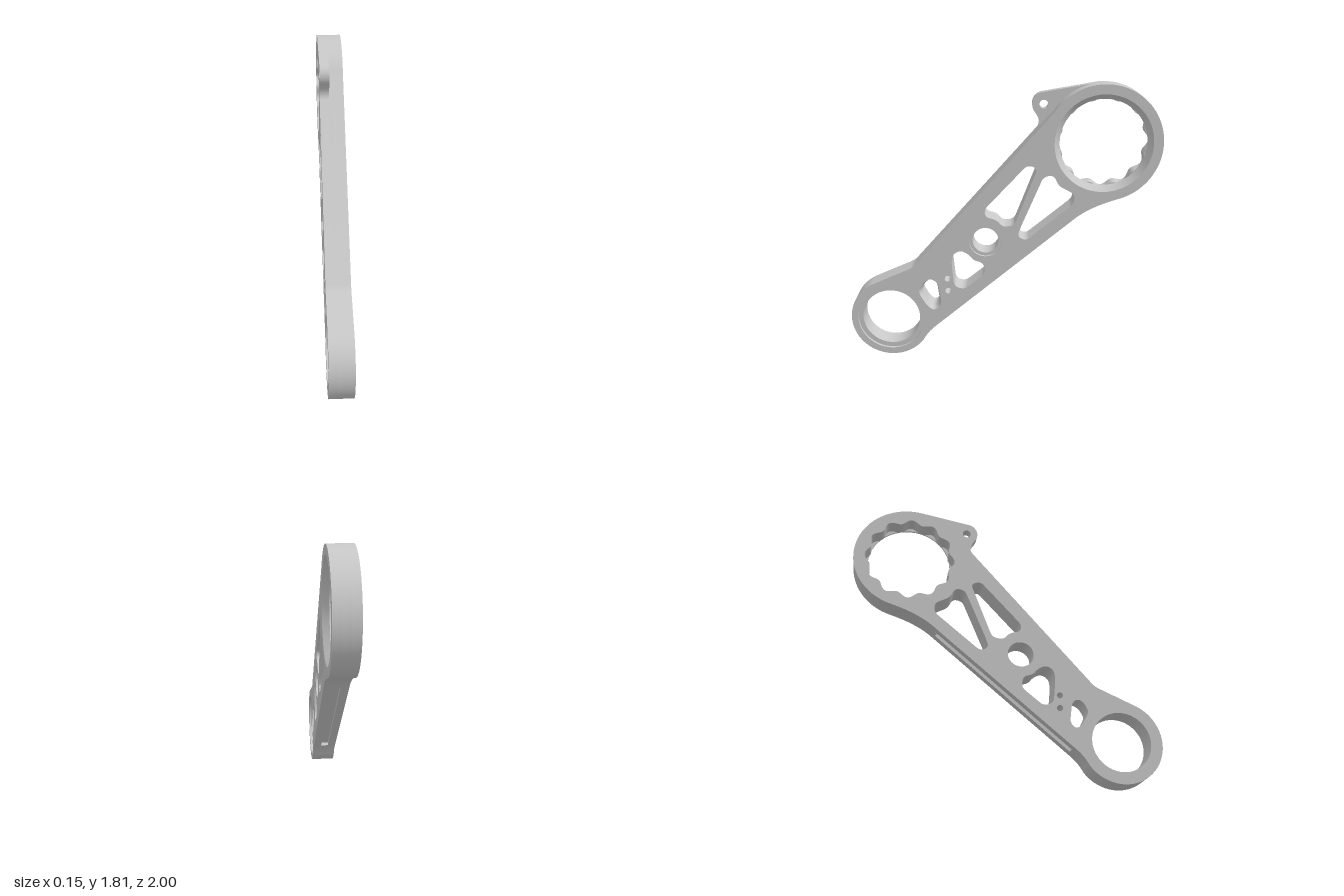
import * as THREE from 'three';
import { toCreasedNormals } from 'three/addons/utils/BufferGeometryUtils.js';

// Profile is drafted on a 187-per-unit sheet: sheet right = -z, sheet down = -y.
const S = 187;
const P = (x, y) => new THREE.Vector2((x - 686) / S, (394 - y) / S);
const rad = THREE.MathUtils.degToRad;
const TOP = P(804, 123), LOW = P(548.5, 344), MID = P(666.5, 242);

// Closed counter-clockwise outline with softened corners
function rounded(pts, cut = 6) {
  const v = pts.map(([x, y]) => P(x, y));
  if (THREE.ShapeUtils.isClockWise(v)) v.reverse();
  const path = new THREE.Path();
  v.forEach((c, i) => {
    const a = v[(i + v.length - 1) % v.length], b = v[(i + 1) % v.length];
    const toward = (q) => c.clone().lerp(q, Math.min(0.5, cut / S / c.distanceTo(q)));
    const s = toward(a), e = toward(b);
    if (i === 0) path.moveTo(s.x, s.y); else path.lineTo(s.x, s.y);
    path.quadraticCurveTo(c.x, c.y, e.x, e.y);
  });
  path.closePath();
  return path;
}

function circle(c, r) {
  return new THREE.Path().absarc(c.x, c.y, r, 0, Math.PI * 2, false);
}

// Wavy bore with twelve lobes
function scallops(c) {
  const pts = [];
  for (let i = 0; i < 168; i++) {
    const t = (i / 168) * Math.PI * 2;
    const r = 0.28 + 0.015 * Math.cos(12 * t);
    pts.push(new THREE.Vector2(c.x + r * Math.cos(t), c.y + r * Math.sin(t)));
  }
  return new THREE.Path(pts);
}

// Arm silhouette, optionally notched along the underside
function armShape(grooved) {
  const s = new THREE.Shape();
  const line = (x, y) => { const p = P(x, y); s.lineTo(p.x, p.y); };
  const bend = (cx, cy, x, y) => {
    const c = P(cx, cy), p = P(x, y);
    s.quadraticCurveTo(c.x, c.y, p.x, p.y);
  };
  s.absarc(LOW.x, LOW.y, 0.265, rad(-37), rad(114), true);
  line(572, 279.5);
  bend(577, 277.5, 581, 273);
  s.absarc(TOP.x, TOP.y, 0.365, rad(147), rad(-74), true);
  bend(790, 198.5, 772, 213.7);
  if (grooved) {
    line(768, 217.1);
    line(765.4, 214);
    line(603.4, 350);
    line(606, 353);
  }
  line(603, 355.5);
  bend(593, 364, 588, 374);
  return s;
}

const KIDNEY = [[590, 296], [599, 291], [608, 297], [612, 326], [603, 334], [594, 328], [583, 309]];
const POCKETS = [
  [[716, 148], [728, 152], [701, 222], [687, 224], [680, 215], [667, 212], [665, 203]],
  [[735, 162], [747, 160], [753, 173], [772, 183], [771, 195], [715, 241], [705, 236], [708, 226]],
  [[627, 259], [637, 254], [647, 260], [652, 267], [664, 270], [666, 284], [640, 305], [628, 301], [625, 270]],
];
const kidneyInner = KIDNEY.map(([x, y]) => [598 + (x - 598) * 0.8, 312.5 + (y - 312.5) * 0.86]);

export function createModel() {
  const group = new THREE.Group();
  const metal = new THREE.MeshStandardMaterial({ color: 0xc9c9c9 });
  metal.name = 'plainGrey';

  function add(geo, name) {
    geo.rotateY(Math.PI / 2);
    const mesh = new THREE.Mesh(toCreasedNormals(geo, 0.55), metal);
    mesh.name = name;
    group.add(mesh);
  }
  function slab(shape, x0, x1, name) {
    const geo = new THREE.ExtrudeGeometry(shape, { depth: x1 - x0, bevelEnabled: false, curveSegments: 24 });
    geo.translate(0, 0, x0);
    add(geo, name);
  }
  // Sloped wall between a wide outline at x1 and a narrow one at x0
  function slopedWall(wide, narrow, x0, x1, name) {
    const a = wide.getPoints(24), b = narrow.getPoints(24);
    const pos = [], index = [], n = Math.min(a.length, b.length);
    for (let i = 0; i < n; i++) {
      pos.push(a[i].x, a[i].y, x1, b[i].x, b[i].y, x0);
      const o = 2 * i, q = 2 * ((i + 1) % n);
      index.push(o, q, q + 1, o, q + 1, o + 1);
    }
    const geo = new THREE.BufferGeometry();
    geo.setAttribute('position', new THREE.Float32BufferAttribute(pos, 3));
    geo.setIndex(index);
    add(geo, name);
  }

  // Arm body in layers, each with its own bores
  const layers = [
    { name: 'innerPlate', x: [-0.077, -0.025], top: scallops(TOP) },
    { name: 'groovedCore', x: [-0.025, 0.025], top: scallops(TOP), groove: true },
    { name: 'boreLip', x: [0.025, 0.035], top: circle(TOP, 0.272) },
    { name: 'taperPlate', x: [0.035, 0.06], top: circle(TOP, 0.305), wide: true },
    { name: 'outerPlate', x: [0.06, 0.077], top: circle(TOP, 0.305), wide: true, ledge: true },
  ];
  for (const l of layers) {
    const shape = armShape(l.groove);
    shape.holes.push(
      l.top,
      circle(LOW, l.ledge ? 0.222 : 0.19),
      circle(MID, l.ledge ? 0.104 : 0.084),
      rounded(l.wide ? KIDNEY : kidneyInner),
      circle(P(620, 291), 0.02),
      circle(P(620.5, 307), 0.02),
      ...POCKETS.map((p) => rounded(p)),
    );
    slab(shape, l.x[0], l.x[1], l.name);
  }

  // Tapered entries on the outer face
  slopedWall(circle(TOP, 0.305), circle(TOP, 0.272), 0.035, 0.077, 'largeBoreTaper');
  slopedWall(rounded(KIDNEY), rounded(kidneyInner), 0.035, 0.077, 'kidneySlotTaper');

  // Thin mounting ear beside the large ring
  const ear = new THREE.Shape();
  const c = P(735, 80), tip = P(797, 55), start = P(732.6, 66.2);
  ear.moveTo(tip.x, tip.y);
  ear.lineTo(start.x, start.y);
  ear.absarc(c.x, c.y, 14 / S, rad(100), rad(215), false);
  const f = P(732.5, 100), e = P(727.5, 107.5);
  ear.quadraticCurveTo(f.x, f.y, e.x, e.y);
  for (const [x, y] of [[750, 90], [760, 77], [775, 65]]) ear.lineTo(P(x, y).x, P(x, y).y);
  ear.holes.push(circle(P(734.5, 80), 0.027));
  slab(ear, -0.077, -0.016, 'mountingEar');

  return group;
}
